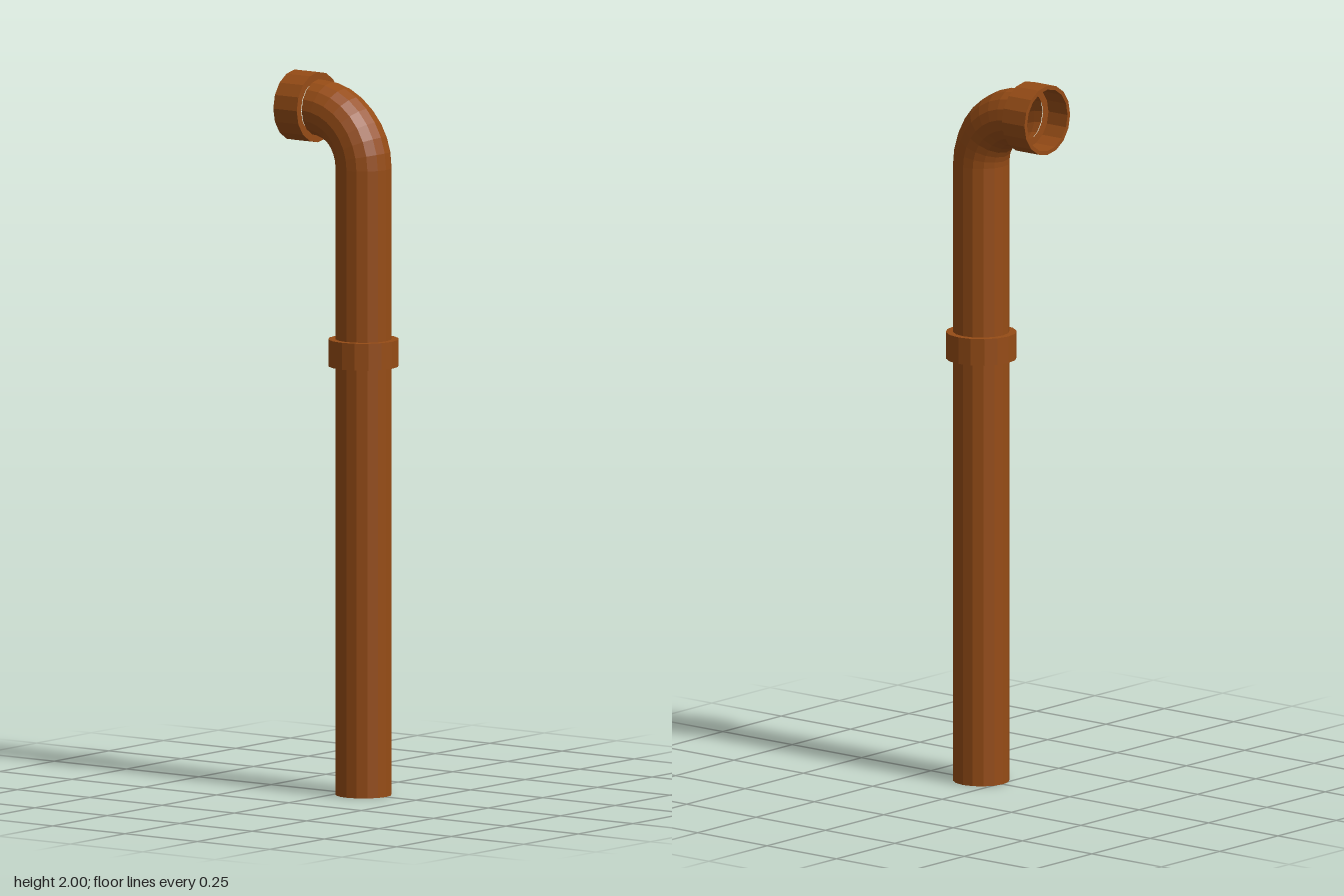
import * as THREE from 'three';

const SIDES = 16, PIPE_R = 0.078, SOCKET_R = 0.098, SOCKET_INNER_R = 0.087;
const PIPE_Z = 0.069, AXIS_Y = 1.902, BEND_R = 0.155;

export function createModel() {
  const group = new THREE.Group();
  const material = new THREE.MeshStandardMaterial({
    color: 0x964c16, flatShading: true, side: THREE.DoubleSide,
  });

  const add = (name, geometry, y, z, rotX = 0) => {
    const mesh = new THREE.Mesh(geometry, material);
    mesh.name = name;
    mesh.position.set(0, y, z);
    mesh.rotation.x = rotX;
    group.add(mesh);
    return mesh;
  };

  // Open-ended straight pipe
  const pipe = (length) => new THREE.CylinderGeometry(PIPE_R, PIPE_R, length, SIDES, 1, true);

  // Hollow socket: closed shoulder at 0, open mouth at the given length
  const socket = (length) => new THREE.LatheGeometry([
    [PIPE_R, 0], [SOCKET_R, 0], [SOCKET_R, length],
    [SOCKET_INNER_R, length], [SOCKET_INNER_R, 0.012], [PIPE_R - 0.012, 0.012],
  ].map(([r, h]) => new THREE.Vector2(r, h)), SIDES);

  const bendY = AXIS_Y - BEND_R, bendZ = PIPE_Z - BEND_R;
  const jointY = 1.232;

  // Lower and upper lengths, with the coupling between them
  add('lowerPipe', pipe(jointY), jointY / 2, PIPE_Z);
  add('upperPipe', pipe(bendY - jointY), (bendY + jointY) / 2, PIPE_Z);
  add('couplingCollar', socket(0.075), 1.27, PIPE_Z, Math.PI);

  // Quarter bend towards the back
  const elbow = new THREE.TorusGeometry(BEND_R, PIPE_R, SIDES, 8, Math.PI / 2);
  elbow.rotateY(-Math.PI / 2);
  add('elbow', elbow, bendY, bendZ);

  // Open socket at the end of the bend
  add('endSocket', socket(0.081), AXIS_Y, -0.088, -Math.PI / 2);

  return group;
}
